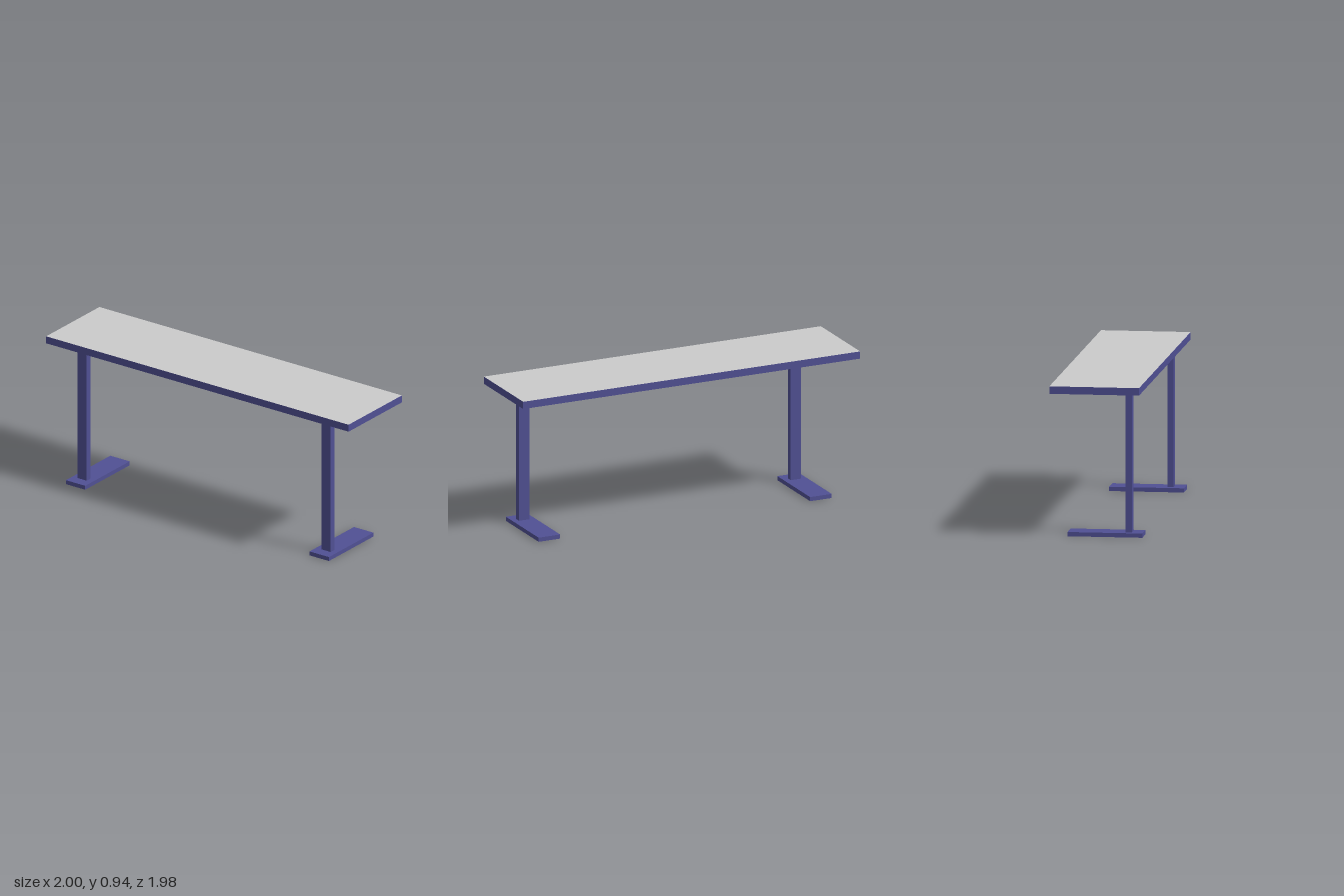
import * as THREE from 'three';

export function createModel() {
  const table = new THREE.Group();
  table.name = 'table';

  const grey = new THREE.MeshStandardMaterial({ color: 0xcccccc });
  const navy = new THREE.MeshStandardMaterial({ color: 0x505094 });

  // Box placed by its base height
  const addBox = (name, [w, h, d], [x, base, z], material) => {
    const mesh = new THREE.Mesh(new THREE.BoxGeometry(w, h, d), material);
    mesh.name = name;
    mesh.position.set(x, base + h / 2, z);
    table.add(mesh);
  };

  const footHeight = 0.026, topBase = 0.893;

  // Tabletop: grey faces with a navy edge band
  addBox('tabletop', [2.266, 0.046, 0.548], [0, topBase, 0],
    [navy, navy, grey, grey, navy, navy]);

  // A flat foot and an offset post at each end
  for (const [side, s] of [['right', -1], ['left', 1]]) {
    addBox(side + 'Foot', [0.145, footHeight, 0.457], [s * 0.913, 0, 0.045], navy);
    addBox(side + 'Post', [0.07, topBase - footHeight, 0.039], [s * 0.914, footHeight, 0.186], navy);
  }

  // The table stands diagonally
  table.rotation.y = -0.778;

  const model = new THREE.Group();
  model.name = 'diagonalTable';
  model.add(table);
  return model;
}
